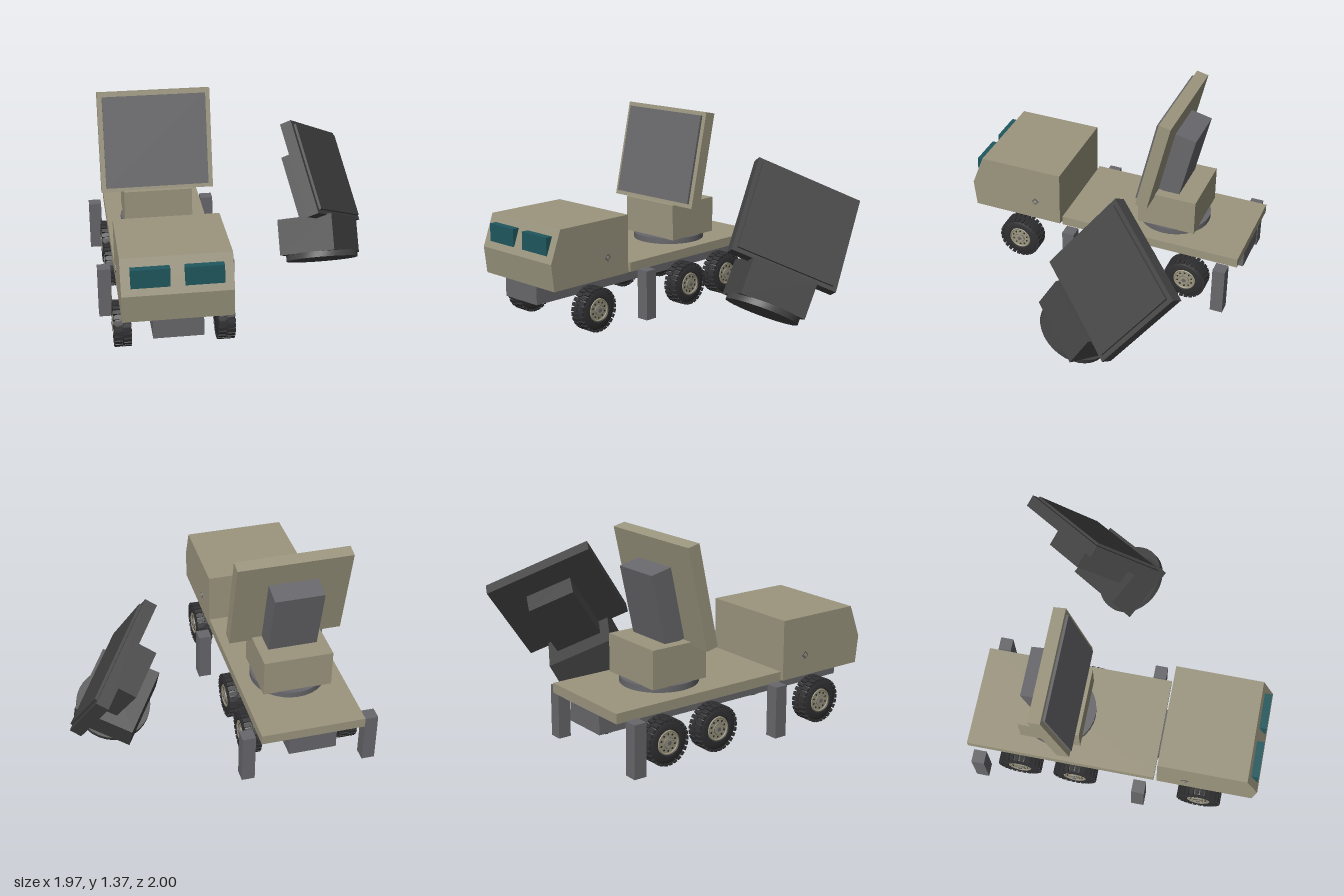
import * as THREE from 'three';
import { toCreasedNormals } from 'three/addons/utils/BufferGeometryUtils.js';

const mat = (name, color) => {
  const m = new THREE.MeshStandardMaterial({ color });
  m.name = name;
  return m;
};
const khaki = mat('khaki paint', 0x9c967f);
const grey = mat('grey metal', 0x68686c);
const rubber = mat('tyre rubber', 0x303032);
const glass = mat('teal glass', 0x1f585e);
const burnt = mat('charred metal', 0x454545);

const TRUCK_X = -0.525;

function add(parent, name, geometry, material, x = 0, y = 0, z = 0) {
  const mesh = new THREE.Mesh(geometry, material);
  mesh.name = name;
  mesh.position.set(x, y, z);
  parent.add(mesh);
  return mesh;
}
const box = (w, h, d) => new THREE.BoxGeometry(w, h, d);
const disc = (r, h, n) => toCreasedNormals(new THREE.CylinderGeometry(r, r, h, n), 0.6);
// disc with its axis along x
const sideDisc = (r, h, n) => disc(r, h, n).rotateZ(-Math.PI / 2);

// Wheel with its outer face toward +x
function makeWheel() {
  const wheel = new THREE.Group();
  wheel.name = 'wheel';
  const profile = [[0, -0.054], [0.118, -0.054], [0.136, -0.047], [0.143, -0.03], [0.143, 0.03],
    [0.136, 0.047], [0.118, 0.056], [0.085, 0.056], [0.08, 0.04], [0, 0.04]];
  const tyre = new THREE.LatheGeometry(profile.map(([r, h]) => new THREE.Vector2(r, h)), 36);
  add(wheel, 'tyre', toCreasedNormals(tyre.rotateZ(-Math.PI / 2), 0.6), rubber);

  // staggered tread blocks
  const count = 26;
  const lug = box(0.052, 0.016, 0.025);
  for (const side of [-1, 1]) {
    for (let i = 0; i < count; i++) {
      const a = ((i + (side > 0 ? 0.5 : 0)) / count) * Math.PI * 2;
      const block = add(wheel, 'treadBlock', lug, rubber, side * 0.029, Math.cos(a) * 0.144, Math.sin(a) * 0.144);
      block.rotation.x = a;
    }
  }

  // rim, recessed ring, hub and bolts
  add(wheel, 'rim', sideDisc(0.079, 0.012, 32), khaki, 0.042);
  add(wheel, 'rimRing', new THREE.TorusGeometry(0.074, 0.006, 8, 32).rotateY(Math.PI / 2), khaki, 0.05);
  add(wheel, 'hub', sideDisc(0.034, 0.018, 20), khaki, 0.052);
  add(wheel, 'hubRing', new THREE.TorusGeometry(0.034, 0.003, 6, 20).rotateY(Math.PI / 2), grey, 0.058);
  add(wheel, 'hubCap', sideDisc(0.014, 0.012, 12), grey, 0.06);
  const hole = sideDisc(0.007, 0.006, 8);
  for (let i = 0; i < 10; i++) {
    const a = (i / 10) * Math.PI * 2;
    add(wheel, 'rimHole', hole, rubber, 0.047, Math.cos(a) * 0.054, Math.sin(a) * 0.054);
  }
  return wheel;
}

// Radar: turntable, base box and leaning panel; origin under the turntable
function makeRadar(name, body, metal) {
  const radar = new THREE.Group();
  radar.name = name;
  add(radar, 'turntable', disc(0.255, 0.042, 32), metal, 0, 0.021, 0);
  add(radar, 'radarBase', box(0.47, 0.255, 0.415), body, 0, 0.167, -0.0125);

  const panel = new THREE.Group();
  panel.name = 'panelAssembly';
  panel.position.set(0, 0.615, 0.046);
  panel.rotation.x = -0.22;
  radar.add(panel);
  add(panel, 'panelFrame', box(0.775, 0.688, 0.085), body);
  add(panel, 'panelFace', box(0.71, 0.63, 0.02), metal, 0, 0, 0.05);
  add(panel, 'rearHousing', box(0.335, 0.484, 0.15), metal, 0, -0.068, -0.117);
  return radar;
}

export function createModel() {
  const model = new THREE.Group();
  model.name = 'radarTruckScene';

  const truck = new THREE.Group();
  truck.name = 'truck';
  truck.position.x = TRUCK_X;
  model.add(truck);

  // chassis and flat deck
  add(truck, 'chassis', box(0.32, 0.13, 1.965), grey, 0, 0.28, -0.0125);
  add(truck, 'deck', box(0.7, 0.066, 1.3), khaki, 0, 0.378, -0.35);

  // cab: side profile (z, y) swept across the width
  const cabShape = new THREE.Shape(
    [[0.32, 0.345], [0.978, 0.345], [1.0, 0.53], [0.917, 0.75], [0.32, 0.75]]
      .map(([z, y]) => new THREE.Vector2(-z, y)));
  const cab = new THREE.ExtrudeGeometry(cabShape, { depth: 0.7, bevelEnabled: false });
  cab.translate(0, 0, -0.35).rotateY(Math.PI / 2);
  add(truck, 'cab', cab, khaki);

  for (const s of [-1, 1]) {
    // windscreen blocks and diamond side badges
    add(truck, 'windscreen', box(0.245, 0.122, 0.08), glass, s * 0.168, 0.637, 0.947);
    const badge = new THREE.CylinderGeometry(0.027, 0.027, 0.008, 4).toNonIndexed();
    badge.computeVertexNormals();
    add(truck, 'sideMarker', badge.rotateZ(Math.PI / 2), grey, s * 0.351, 0.487, 0.51);
    const inset = new THREE.CylinderGeometry(0.015, 0.015, 0.004, 4).toNonIndexed();
    inset.computeVertexNormals();
    add(truck, 'sideMarkerInset', inset.rotateZ(Math.PI / 2), khaki, s * 0.355, 0.487, 0.51);

    // stabiliser legs
    for (const z of [0.21, -0.905])
      add(truck, 'stabiliserLeg', box(0.088, 0.347, 0.088), grey, s * 0.417, 0.187, z);

    // three axles
    for (const z of [0.625, -0.25, -0.64]) {
      const wheel = makeWheel();
      wheel.position.set(s * 0.334, 0.155, z);
      if (s < 0) wheel.rotation.y = Math.PI;
      truck.add(wheel);
    }
  }

  // working radar on the deck
  const radar = makeRadar('radar', khaki, grey);
  radar.position.set(0, 0.41, -0.425);
  truck.add(radar);

  // wrecked radar lying beside the truck
  const wreck = makeRadar('wreckedRadar', burnt, burnt);
  wreck.position.set(0.629, 0.138, -0.136);
  wreck.rotation.set(-0.525, 0.972, 0);
  model.add(wreck);

  return model;
}
